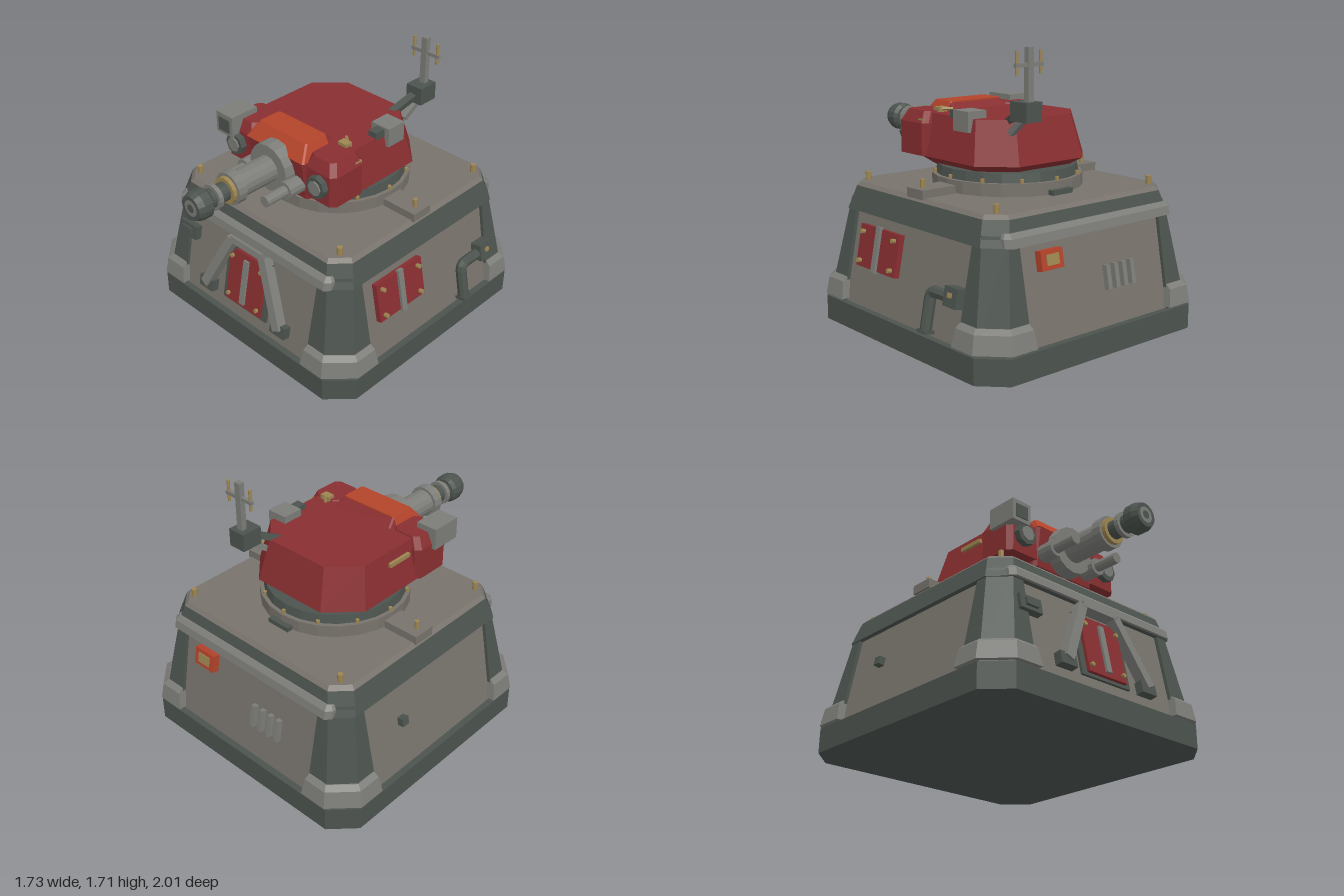
import * as THREE from 'three';

const paint = (name, color) => {
  const m = new THREE.MeshStandardMaterial({ color });
  m.name = name;
  return m;
};

// Faceted normals for every part
function faceted(geo) {
  const g = geo.index ? geo.toNonIndexed() : geo;
  g.computeVertexNormals();
  return g;
}

// Skin over stacked convex rings: levels = [[y, [[x, z], ...]], ...], rings run from +z towards +x
function loft(levels) {
  const pos = [];
  const n = levels[0][1].length;
  const at = (k, i) => [levels[k][1][i % n][0], levels[k][0], levels[k][1][i % n][1]];
  const tri = (a, b, c) => pos.push(...a, ...b, ...c);
  const top = levels.length - 1;
  for (let k = 0; k < top; k++) {
    for (let i = 0; i < n; i++) {
      tri(at(k, i), at(k, i + 1), at(k + 1, i + 1));
      tri(at(k, i), at(k + 1, i + 1), at(k + 1, i));
    }
  }
  for (let i = 1; i < n - 1; i++) {
    tri(at(top, 0), at(top, i), at(top, i + 1));
    tri(at(0, 0), at(0, i + 1), at(0, i));
  }
  const g = new THREE.BufferGeometry();
  g.setAttribute('position', new THREE.Float32BufferAttribute(pos, 3));
  return g;
}

// Rectangle with cut corners (cf at the front, cb at the back)
const oct = (hx, zf, zb, cf, cb = cf) => [
  [-hx + cf, zf], [hx - cf, zf], [hx, zf - cf], [hx, zb + cb],
  [hx - cb, zb], [-hx + cb, zb], [-hx, zb + cb], [-hx, zf - cf]];
const square = (y, w, c) => [y, oct(w, w, -w, c)];
// Corner piece reaching from p to w on both axes, outer corner cut by c
const corner = (y, w, p, c) => [y, [[p, w], [w - c, w], [w, w - c], [w, p], [p, p]]];

export function createModel() {
  const grey = paint('wall grey', 0x77726b);
  const steel = paint('steel grey', 0x7c7c78);
  const dark = paint('dark green grey', 0x4c534e);
  const red = paint('deep red', 0x882e30);
  const orange = paint('orange red', 0xb3432a);
  const brass = paint('brass', 0x9c8550);

  const root = new THREE.Group();
  root.name = 'gunTurret';

  const add = (parent, name, geo, mat, x = 0, y = 0, z = 0) => {
    const m = new THREE.Mesh(faceted(geo), mat);
    m.name = name;
    m.position.set(x, y, z);
    parent.add(m);
    return m;
  };
  const box = (parent, name, mat, w, h, d, x, y, z) =>
    add(parent, name, new THREE.BoxGeometry(w, h, d), mat, x, y, z);
  const rod = (parent, name, mat, r, h, x, y, z, sides = 8, r2 = r) =>
    add(parent, name, new THREE.CylinderGeometry(r2, r, h, sides), mat, x, y, z);
  // Cylinder along z from z0 to z1
  const rodZ = (parent, name, mat, r, z0, z1, x, y, sides = 16, r2 = r) => {
    const m = rod(parent, name, mat, r, z1 - z0, x, y, (z0 + z1) / 2, sides, r2);
    m.rotation.x = Math.PI / 2;
    return m;
  };
  const beam = (parent, name, mat, a, b, w, d) => {
    const p = new THREE.Vector3(...a), q = new THREE.Vector3(...b);
    const m = box(parent, name, mat, w, p.distanceTo(q), d, 0, 0, 0);
    m.position.copy(p).add(q).multiplyScalar(0.5);
    m.quaternion.setFromUnitVectors(new THREE.Vector3(0, 1, 0), q.sub(p).normalize());
    return m;
  };

  // ---- Bunker ----
  const base = new THREE.Group();
  base.name = 'bunker';
  base.position.z = -0.15;
  root.add(base);
  add(base, 'plinth', loft([square(0, 0.85, 0.14), square(0.15, 0.85, 0.14)]), dark);
  add(base, 'walls', loft([square(0.15, 0.81, 0.14), square(0.72, 0.70, 0.1)]), grey);
  add(base, 'upperBand', loft([square(0.70, 0.735, 0.11), square(0.84, 0.69, 0.1)]), dark);
  add(base, 'deck', loft([square(0.84, 0.69, 0.1), square(0.863, 0.668, 0.09)]), grey);

  const lean = Math.atan(0.11 / 0.57);
  const walls = [];
  for (let i = 0; i < 4; i++) {
    const quarter = new THREE.Group();
    quarter.name = 'wallSide' + i;
    quarter.rotation.y = i * Math.PI / 2;
    base.add(quarter);
    add(quarter, 'cornerPost', loft([corner(0.15, 0.83, 0.545, 0.13), corner(0.76, 0.715, 0.55, 0.1)]), dark);
    add(quarter, 'cornerFoot', loft([corner(0.165, 0.857, 0.53, 0.15), corner(0.27, 0.838, 0.545, 0.14),
      corner(0.295, 0.81, 0.55, 0.13)]), steel);
    // Frame lying in the sloping wall: x along, y up from the plinth, z outwards
    const face = new THREE.Group();
    face.name = 'wallFittings';
    face.position.set(0, 0.15, 0.81);
    face.rotation.x = -lean;
    quarter.add(face);
    walls.push(face);
    if (i % 2 === 0) add(quarter, 'trimBar', loft([
      [0.70, oct(0.65, 0.755, 0.66, 0.03)], [0.75, oct(0.65, 0.745, 0.66, 0.03)],
      [0.775, oct(0.63, 0.72, 0.66, 0.02)]]), steel);
  }
  const [front, sideA, back, sideB] = walls;
  const v = (y) => (y - 0.15) / Math.cos(lean);
  const boltsOn = (face, x, y, dx, dy, z) => {
    for (const sx of [-1, 1]) for (const sy of [-1, 1])
      rodZ(face, 'panelBolt', brass, 0.014, 0, z, x + sx * dx, v(y) + sy * dy, 8);
  };

  // Front door with its brace frame
  box(front, 'doorFrame', dark, 0.38, 0.4, 0.02, 0, v(0.43), 0.005);
  const door = new THREE.Shape([[-0.15, -0.18], [0.15, -0.18], [0.15, 0.13], [0.1, 0.18], [-0.1, 0.18], [-0.15, 0.13]]
    .map((p) => new THREE.Vector2(...p)));
  add(front, 'door', new THREE.ExtrudeGeometry(door, { depth: 0.025, bevelEnabled: false }), red, 0, v(0.43), 0.01);
  box(front, 'doorStrip', steel, 0.04, 0.3, 0.02, 0, v(0.425), 0.04);
  boltsOn(front, 0, 0.425, 0.125, 0.132, 0.05);
  box(front, 'braceTop', steel, 0.27, 0.04, 0.07, 0, v(0.67), 0.035);
  for (const s of [-1, 1]) {
    beam(front, 'doorBrace', steel, [s * 0.325, v(0.27), 0.035], [s * 0.135, v(0.665), 0.035], 0.06, 0.065);
    box(front, 'braceFoot', dark, 0.12, 0.075, 0.05, s * 0.32, v(0.268), 0.025);
  }
  box(front, 'junctionBox', dark, 0.155, 0.09, 0.05, -0.54, v(0.54), 0.02);
  box(front, 'junctionLid', dark, 0.085, 0.045, 0.02, -0.54, v(0.54), 0.05);

  // Side hatch, pipe and valve box
  box(sideA, 'sideHatch', red, 0.39, 0.25, 0.04, -0.26, v(0.508), 0.015);
  box(sideA, 'hatchStrip', steel, 0.04, 0.275, 0.025, -0.26, v(0.508), 0.04);
  boltsOn(sideA, -0.26, 0.505, 0.155, 0.087, 0.06);
  const pipe = new THREE.CurvePath();
  const P = (x, y) => new THREE.Vector3(x, v(y), 0.035);
  pipe.add(new THREE.LineCurve3(P(0.285, 0.17), P(0.285, 0.36)));
  pipe.add(new THREE.QuadraticBezierCurve3(P(0.285, 0.36), P(0.285, 0.4), P(0.325, 0.4)));
  pipe.add(new THREE.LineCurve3(P(0.325, 0.4), P(0.46, 0.4)));
  add(sideA, 'pipe', new THREE.TubeGeometry(pipe, 18, 0.034, 8, false), dark);
  box(sideA, 'pipeFoot', dark, 0.07, 0.02, 0.07, 0.285, v(0.175), 0.035);
  box(sideA, 'valveBox', dark, 0.11, 0.11, 0.08, 0.495, v(0.41), 0.035);
  box(sideA, 'valvePlate', brass, 0.03, 0.025, 0.02, 0.495, v(0.42), 0.075);
  box(sideB, 'sideSocket', dark, 0.05, 0.05, 0.04, -0.26, v(0.46), 0.02);

  // Rear control box and vents
  box(back, 'controlBox', orange, 0.16, 0.11, 0.05, -0.35, v(0.595), 0.02);
  box(back, 'controlPlate', brass, 0.09, 0.06, 0.008, -0.35, v(0.595), 0.048);
  for (let i = 0; i < 4; i++) box(back, 'ventSlat', steel, 0.03, 0.14, 0.035, 0.075 + i * 0.065, v(0.42), 0.015);

  // Deck fittings
  for (const s of [-1, 1]) {
    for (const z of [-0.6, 0.6]) rod(base, 'deckBolt', brass, 0.017, 0.055, s * 0.6, 0.885, z);
    box(base, 'deckBlock', grey, 0.235, 0.055, 0.145, s * 0.573, 0.883, 0);
    rod(base, 'blockBolt', brass, 0.015, 0.06, s * 0.635, 0.93, 0);
  }
  box(base, 'rearDeckBlock', dark, 0.155, 0.03, 0.06, 0, 0.877, -0.455);

  // Slewing ring
  rod(base, 'ringBase', grey, 0.455, 0.075, 0, 0.9, 0, 24);
  rod(base, 'ringCollar', dark, 0.43, 0.055, 0, 0.965, 0, 24, 0.42);
  for (let i = 0; i < 12; i++) {
    const a = (i / 12) * Math.PI * 2;
    rod(base, 'ringBolt', brass, 0.012, 0.025, Math.sin(a) * 0.435, 0.948, Math.cos(a) * 0.435, 6);
  }

  // ---- Turret ----
  const turret = new THREE.Group();
  turret.name = 'turret';
  root.add(turret);
  add(turret, 'turretBody', loft([
    [0.985, oct(0.36, 0.16, -0.46, 0.07, 0.16)], [1.035, oct(0.43, 0.2, -0.54, 0.07, 0.18)],
    [1.29, oct(0.375, 0.17, -0.468, 0.07, 0.16)]]), red);
  add(turret, 'gunHousing', loft([[1.0, oct(0.24, 0.34, 0.1, 0.02)], [1.25, oct(0.24, 0.37, 0.1, 0.02)]]), red);
  add(turret, 'hoodBack', loft([[1.24, oct(0.24, 0.25, 0.02, 0.01)], [1.332, oct(0.195, 0.25, 0.145, 0.01)]]), red);
  add(turret, 'hoodPlate', loft([[1.25, oct(0.238, 0.375, 0.14, 0.01)], [1.338, oct(0.195, 0.305, 0.142, 0.01)]]), orange);

  for (const s of [-1, 1]) {
    const cheek = add(turret, 'cheek', loft([
      [1.035, oct(0.125, 0.345, 0.08, 0.03)], [1.23, oct(0.125, 0.345, 0.08, 0.03)],
      [1.3, oct(0.09, 0.31, 0.1, 0.03)]]), red);
    cheek.position.x = s * 0.32;
    rodZ(turret, 'lampHousing', dark, 0.07, 0.33, 0.385, s * 0.34, 1.15, 8);
    rodZ(turret, 'lampLens', steel, 0.046, 0.38, 0.395, s * 0.34, 1.15, 8);
    // Recoil cylinders beside the barrel
    rodZ(turret, 'recoilFlange', steel, 0.055, 0.34, 0.46, s * 0.173, 1.09, 12);
    rodZ(turret, 'recoilCylinder', steel, 0.034, 0.46, 0.615, s * 0.173, 1.09, 12);
  }

  // Gun, breech to muzzle: name, material, rear z, front z, rear radius, front radius
  for (const [name, mat, z0, z1, r, r2] of [
    ['gunFlange', steel, 0.34, 0.425, 0.158, 0.15],
    ['gunSleeve', steel, 0.42, 0.68, 0.082, 0.082],
    ['sleeveCollar', steel, 0.67, 0.73, 0.1, 0.1],
    ['brassRing', brass, 0.73, 0.755, 0.082, 0.082],
    ['barrel', dark, 0.75, 0.9, 0.057, 0.057],
    ['barrelCollar', steel, 0.823, 0.85, 0.078, 0.078],
    ['muzzleRear', dark, 0.885, 0.905, 0.07, 0.09],
    ['muzzle', dark, 0.905, 0.96, 0.09, 0.09],
    ['muzzleTip', dark, 0.96, 0.997, 0.09, 0.075],
    ['boreRing', steel, 0.99, 0.999, 0.05, 0.05],
    ['bore', dark, 0.99, 1.0, 0.026, 0.026],
  ]) rodZ(turret, name, mat, r, z0, z1, 0, 1.15, 16, r2);

  // Sight box and roof periscope
  box(turret, 'sightBox', steel, 0.14, 0.135, 0.2, -0.4, 1.268, 0.3);
  box(turret, 'sightWindow', dark, 0.09, 0.085, 0.008, -0.4, 1.265, 0.402);
  box(turret, 'periscope', steel, 0.135, 0.12, 0.135, 0.345, 1.275, -0.218);
  box(turret, 'periscopeLens', dark, 0.06, 0.055, 0.075, 0.348, 1.297, -0.115);

  // Brass handles
  beam(turret, 'sideHandle', brass, [-0.405, 1.22, -0.13], [-0.405, 1.22, 0.04], 0.02, 0.025);
  box(turret, 'roofLatch', brass, 0.065, 0.03, 0.05, 0.305, 1.305, 0.105);
  beam(turret, 'latchLever', brass, [0.26, 1.31, 0.045], [0.33, 1.31, 0.1], 0.014, 0.014);
  box(turret, 'cheekPlate', brass, 0.035, 0.06, 0.05, 0.42, 1.225, 0.13);

  // Antenna
  const antenna = new THREE.Group();
  antenna.name = 'antenna';
  root.add(antenna);
  beam(antenna, 'antennaArm', dark, [0.2, 1.24, -0.34], [0.265, 1.36, -0.58], 0.045, 0.04);
  beam(antenna, 'antennaStrut', steel, [0.25, 1.22, -0.47], [0.265, 1.33, -0.61], 0.04, 0.035);
  box(antenna, 'antennaBox', dark, 0.115, 0.11, 0.135, 0.265, 1.358, -0.608);
  box(antenna, 'antennaMast', steel, 0.04, 0.3, 0.035, 0.265, 1.56, -0.63);
  beam(antenna, 'antennaCrossbar', steel, [0.165, 1.615, -0.63], [0.37, 1.615, -0.63], 0.022, 0.022);
  for (const x of [0.18, 0.355]) rod(antenna, 'antennaRod', brass, 0.009, 0.13, x, 1.627, -0.63);

  return root;
}
